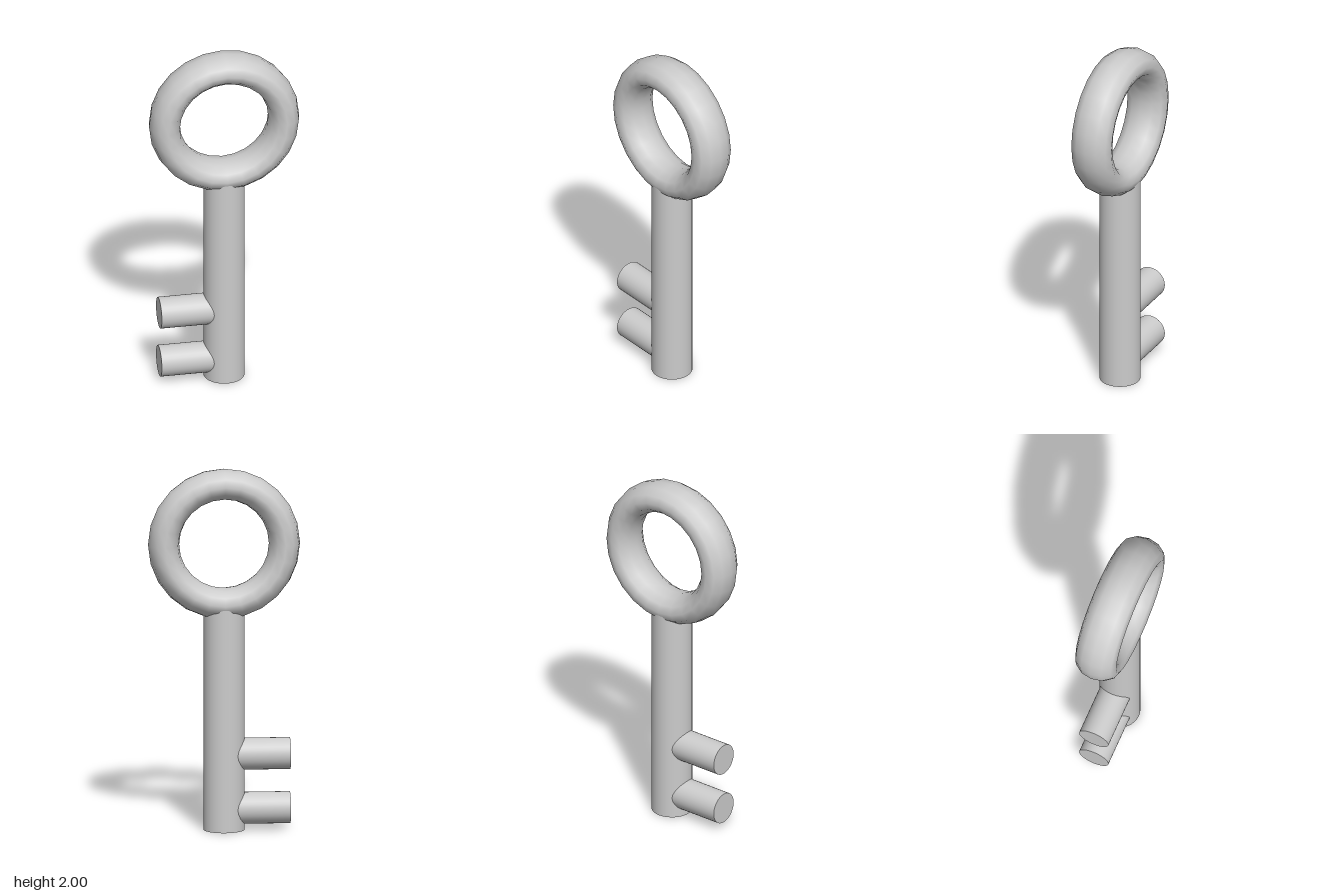
import * as THREE from 'three';

export function createModel() {
  const key = new THREE.Group();
  key.name = 'key';
  const material = new THREE.MeshStandardMaterial({ color: 0xcccccc });

  const add = (name, geometry, x, y) => {
    const mesh = new THREE.Mesh(geometry, material);
    mesh.name = name;
    mesh.position.set(x, y, 0);
    key.add(mesh);
    return mesh;
  };

  // Ring handle: a torus with an oval section, deeper than it is thick
  const ring = new THREE.TorusGeometry(0.33, 0.085, 12, 24);
  ring.scale(1, 1, 0.12 / 0.085);
  add('ringHandle', ring, 0, 1.585);

  // Round shaft, its top sunk into the ring
  const shaftHeight = 1.24;
  add('shaft', new THREE.CylinderGeometry(0.112, 0.112, shaftHeight, 32), 0, shaftHeight / 2);

  // Two round teeth running from the shaft axis out to the right
  const toothLength = 0.36;
  [['lowerTooth', 0.118], ['upperTooth', 0.418]].forEach(([name, y]) => {
    const tooth = new THREE.CylinderGeometry(0.087, 0.087, toothLength, 32);
    tooth.rotateZ(Math.PI / 2);
    add(name, tooth, -toothLength / 2, y);
  });

  return key;
}
